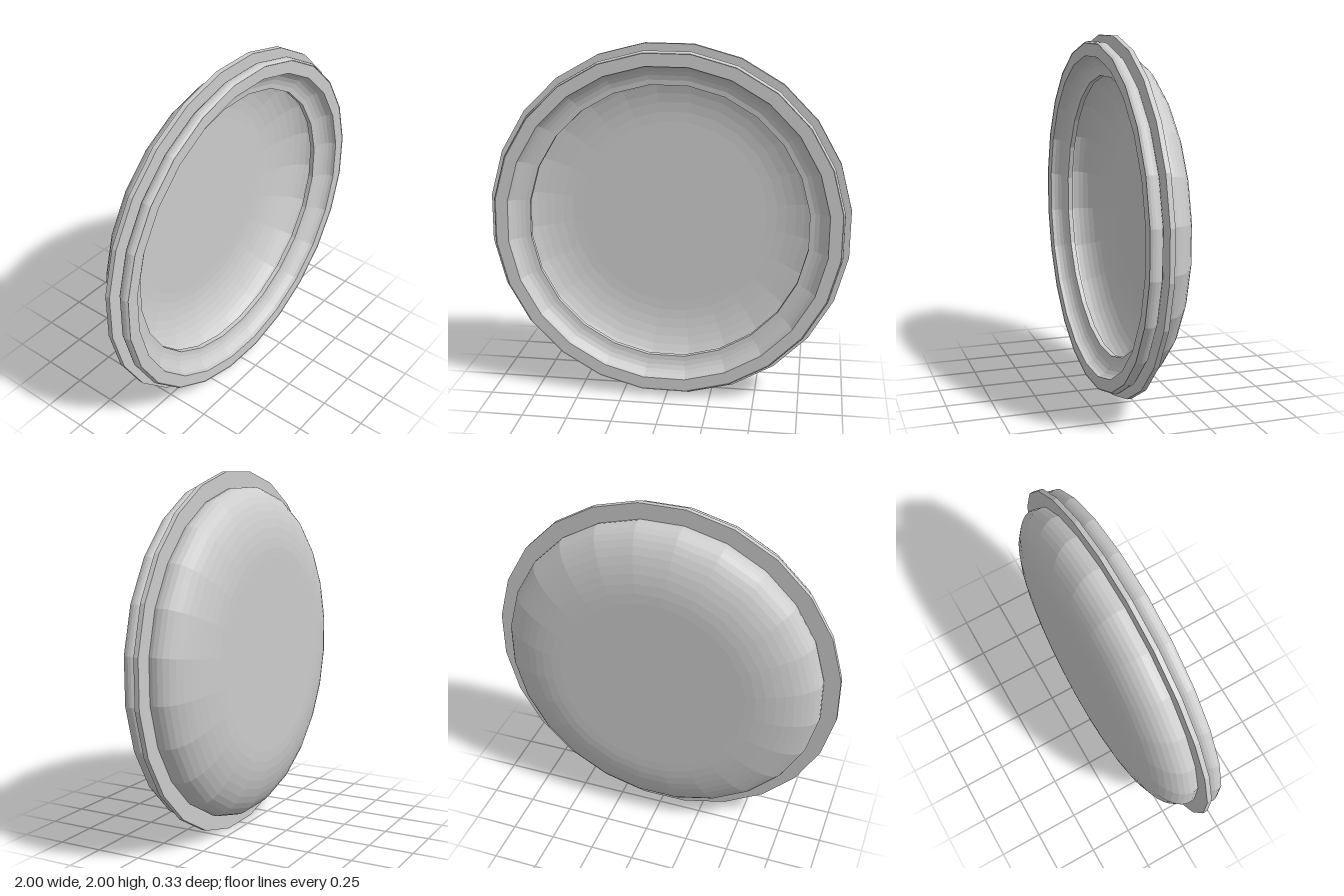
import * as THREE from 'three';

const SIDES = 24;
const TWIST = THREE.MathUtils.degToRad(7);

// Points along an elliptical arc in (radius, depth)
function arc(cr, cz, ar, az, from, to, steps) {
  const pts = [];
  for (let i = 0; i <= steps; i++) {
    const a = THREE.MathUtils.degToRad(from + (to - from) * i / steps);
    pts.push([cr + ar * Math.cos(a), cz + az * Math.sin(a)]);
  }
  return pts;
}

// Faceted ring turned around the front-to-back axis
function turned(name, profile, material) {
  const pts = profile.map(([r, z]) => new THREE.Vector2(r, z));
  const geo = new THREE.LatheGeometry(pts, SIDES, TWIST);
  geo.rotateX(Math.PI / 2);
  const mesh = new THREE.Mesh(geo, material);
  mesh.name = name;
  return mesh;
}

export function createModel() {
  const group = new THREE.Group();
  group.name = 'roundDish';
  const material = new THREE.MeshStandardMaterial({
    color: 0xcccccc, flatShading: true, side: THREE.DoubleSide,
  });

  // Thin bowl: flat floor with an elliptical wall that curls in at the flange
  const bowl = turned('bowl', [
    [0, -0.162],
    ...arc(0.54, 0.02, 0.382, 0.182, -90, 12, 12),
  ], material);

  // Flat flange plate with an open middle
  const flange = turned('flange', [
    [0.785, 0.053], [1.008, 0.053], [1.008, 0.08], [0.785, 0.08], [0.785, 0.053],
  ], material);

  // Raised rim: bulging outside, flat front, hollowed inside
  const rim = turned('rim', [
    ...arc(0.9, 0.137, 0.075, 0.057, -90, 29, 8),
    [0.963, 0.162],
    ...arc(0.785, 0.162, 0.109, 0.081, 0, -90, 6),
  ], material);

  group.add(bowl, flange, rim);
  group.children.forEach((part) => { part.position.y = 1; });
  return group;
}
